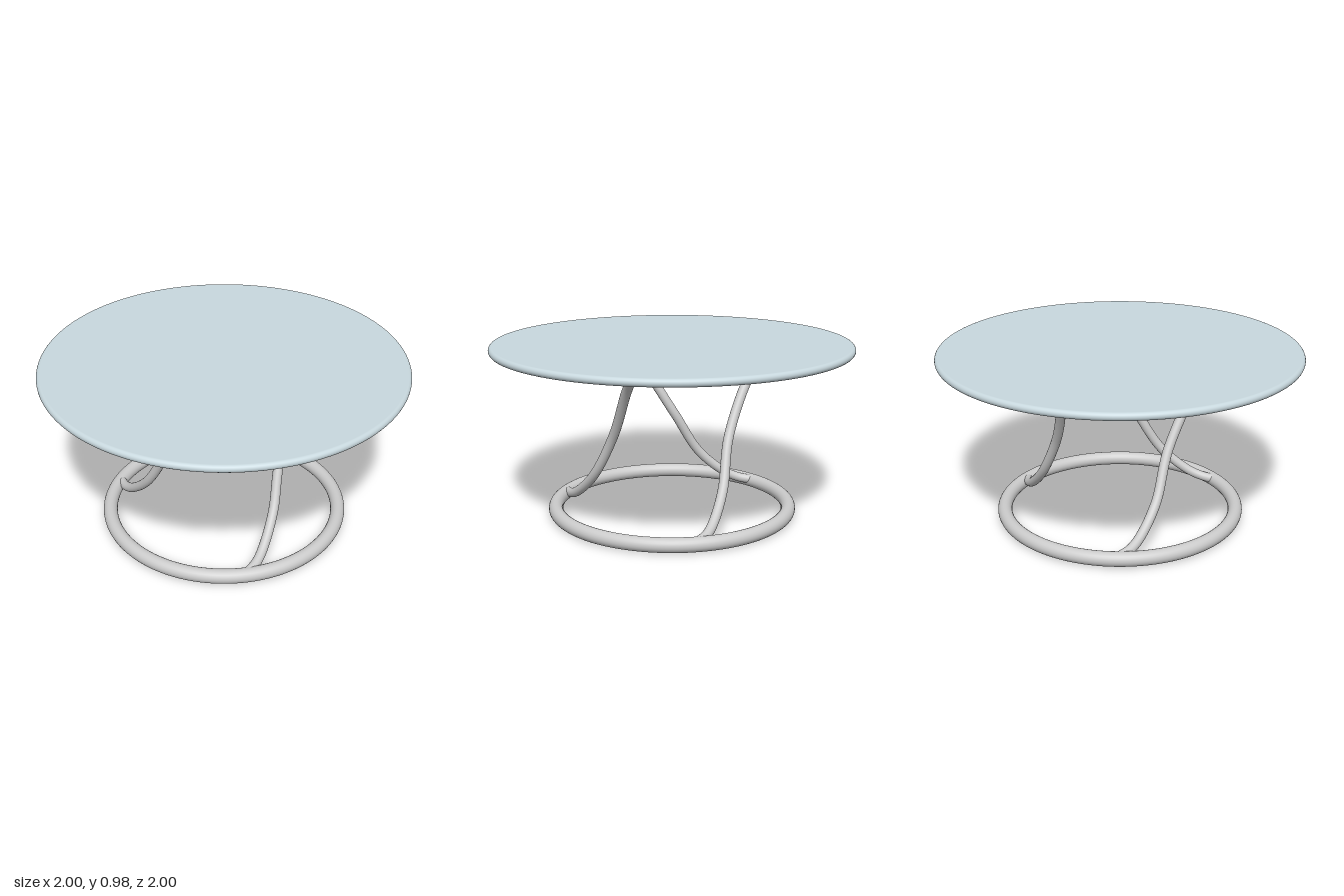
import * as THREE from 'three';

export function createModel() {
  const table = new THREE.Group();
  table.name = 'roundTable';
  const metal = new THREE.MeshStandardMaterial({ color: 0xcccccc });
  const glass = new THREE.MeshStandardMaterial({ color: 0xc8d8de });

  const add = (name, geometry, material, y = 0) => {
    const mesh = new THREE.Mesh(geometry, material);
    mesh.name = name;
    mesh.position.y = y;
    table.add(mesh);
    return mesh;
  };

  // Horizontal tube rings: floor ring and smaller ring under the top
  const ring = (radius, tube) => new THREE.TorusGeometry(radius, tube, 24, 128).rotateX(Math.PI / 2);
  add('baseRing', ring(0.66, 0.04), metal, 0.04);
  add('upperRing', ring(0.567, 0.033), metal, 0.903);

  // Table top: flat disc with a rounded rim; corners split so the faces shade flat
  const edge = 0.021, rim = [];
  for (let i = 0; i <= 12; i++) {
    const a = -Math.PI / 2 + (Math.PI * i) / 12;
    rim.push(new THREE.Vector2(1 - edge + edge * Math.cos(a), edge * Math.sin(a)));
  }
  const profile = [new THREE.Vector2(0, -edge), ...rim, new THREE.Vector2(0, edge)];
  add('tableTop', new THREE.LatheGeometry(profile, 128), glass, 0.958);

  // Three identical S-curved legs sweeping from the base ring to the upper ring
  const path = new THREE.CatmullRomCurve3([
    [0.645, 0.05, -0.03],
    [0.595, 0.062, -0.08],
    [0.525, 0.1, -0.13],
    [0.387, 0.235, -0.21],
    [0.239, 0.49, -0.273],
    [0.099, 0.78, -0.41],
    [0.03, 0.865, -0.491],
    [-0.06, 0.9, -0.56],
  ].map((p) => new THREE.Vector3(...p)));
  const legGeometry = new THREE.TubeGeometry(path, 80, 0.027, 20);
  for (let i = 0; i < 3; i++) {
    add('curvedLeg' + (i + 1), legGeometry, metal).rotation.y = (i * Math.PI * 2) / 3;
  }

  return table;
}
